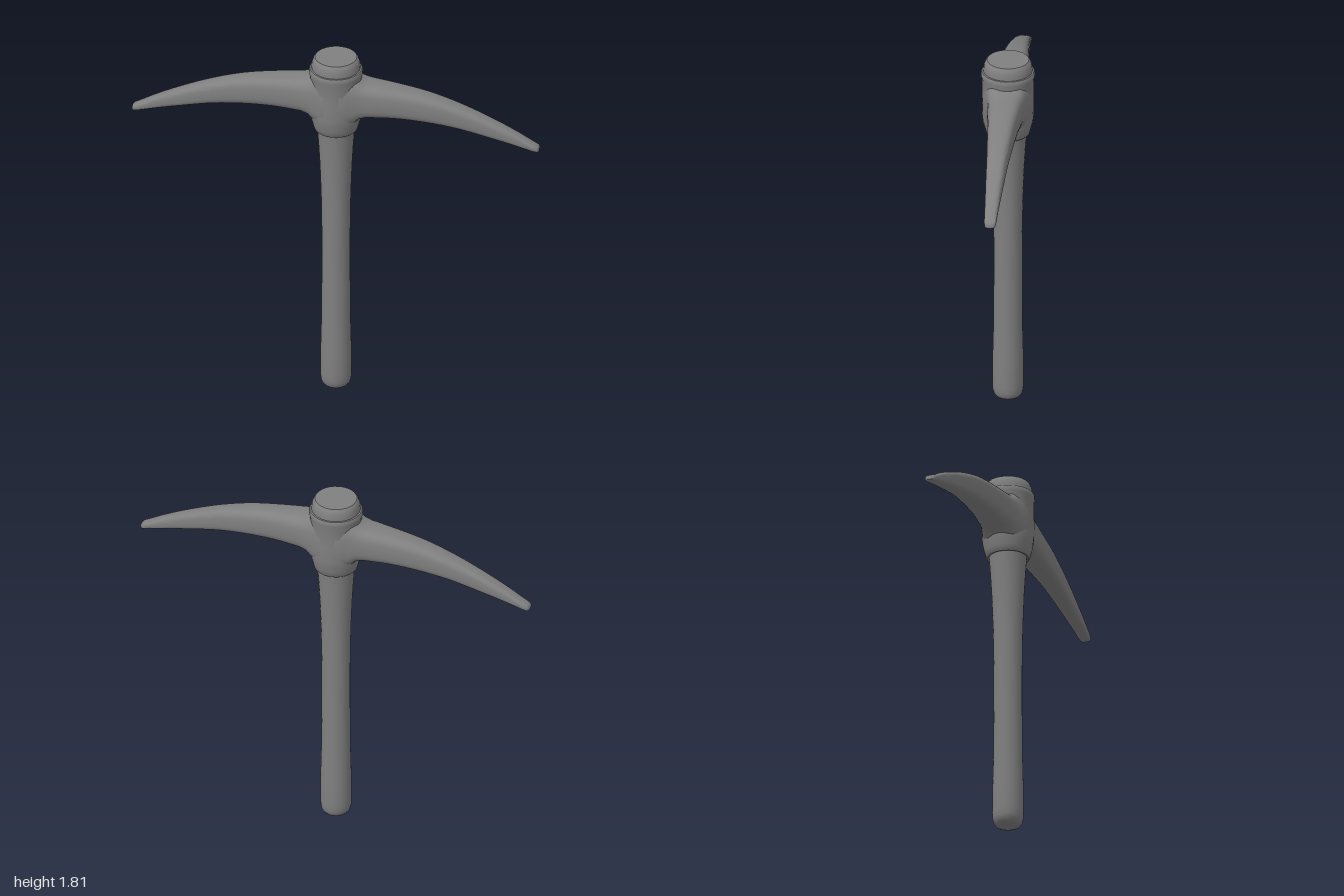
import * as THREE from 'three';
import { toCreasedNormals } from 'three/addons/utils/BufferGeometryUtils.js';

const material = new THREE.MeshStandardMaterial({ color: 0x808080 });

function addMesh(group, name, geometry, crease) {
  const mesh = new THREE.Mesh(toCreasedNormals(geometry, crease), material);
  mesh.name = name;
  group.add(mesh);
}

// Turned part from [radius, height] pairs, bottom to top
function turned(profile) {
  return new THREE.LatheGeometry(profile.map(([r, y]) => new THREE.Vector2(r, y)), 28);
}

// Loft of rounded-rectangle sections along x; each station is [x, bottom, top, halfDepth]
function loftBlade(stations, sides = 28) {
  const positions = [], indices = [];
  const round = (v) => Math.sign(v) * Math.abs(v) ** 0.6;
  for (const [x, bottom, top, depth] of stations) {
    for (let i = 0; i < sides; i++) {
      const a = (i / sides) * Math.PI * 2;
      positions.push(x, (top + bottom) / 2 + round(Math.sin(a)) * (top - bottom) / 2, round(Math.cos(a)) * depth);
    }
  }
  const rows = stations.length;
  for (let r = 0; r < rows - 1; r++) {
    for (let i = 0; i < sides; i++) {
      const j = (i + 1) % sides;
      const a = r * sides + i, b = r * sides + j, c = a + sides, d = b + sides;
      indices.push(a, c, b, b, c, d);
    }
  }
  // end caps
  const last = (rows - 1) * sides;
  for (let i = 1; i < sides - 1; i++) {
    indices.push(0, i, i + 1, last, last + i + 1, last + i);
  }
  const geometry = new THREE.BufferGeometry();
  geometry.setAttribute('position', new THREE.Float32BufferAttribute(positions, 3));
  geometry.setIndex(indices);
  return geometry;
}

// Smooth the half blade between its key stations, then add the rounded tip
function bladeStations() {
  const keys = [
    [0.16, 1.519, 1.697, 0.087], [0.3, 1.525, 1.682, 0.073], [0.45, 1.518, 1.658, 0.062],
    [0.6, 1.499, 1.616, 0.051], [0.75, 1.466, 1.558, 0.042], [0.88, 1.435, 1.498, 0.034],
    [0.975, 1.41, 1.446, 0.029],
  ];
  const curve = (k) => new THREE.CatmullRomCurve3(keys.map((s) => new THREE.Vector3(s[0], s[k], s[3])));
  const low = curve(1), high = curve(2);
  // root flare blending into the socket
  const half = [
    [0.04, 1.46, 1.73, 0.121], [0.075, 1.47, 1.728, 0.107],
    [0.105, 1.488, 1.72, 0.098], [0.125, 1.508, 1.705, 0.093],
  ];
  for (let i = 0; i <= 24; i++) {
    const p = low.getPoint(i / 24), q = high.getPoint(i / 24);
    half.push([p.x, p.y, q.y, p.z]);
  }
  half.push([0.993, 1.407, 1.437, 0.026], [1, 1.411, 1.43, 0.019]);
  const mirrored = half.map(([x, ...rest]) => [-x, ...rest]).reverse();
  return [...mirrored, ...half];
}

export function createModel() {
  const group = new THREE.Group();
  group.name = 'pickaxe';

  // Handle: rounded foot, slim grip, flare under the head
  addMesh(group, 'handle', turned([
    [0, 0], [0.045, 0], [0.06, 0.006], [0.069, 0.018], [0.074, 0.038], [0.076, 0.07], [0.075, 0.2],
    [0.071, 0.36], [0.069, 0.6], [0.069, 0.85], [0.072, 1.05], [0.078, 1.22], [0.085, 1.34], [0.092, 1.44],
  ]), 0.7);

  // Socket gripping the handle, with a raised collar on top
  addMesh(group, 'socket', turned([
    [0.088, 1.425], [0.1, 1.42], [0.106, 1.426], [0.112, 1.45], [0.121, 1.485], [0.125, 1.52],
    [0.126, 1.6], [0.126, 1.715], [0.13, 1.73], [0.13, 1.748], [0.126, 1.755], [0.11, 1.757],
  ]), 0.7);

  // Handle end showing above the socket
  addMesh(group, 'handleTop', turned([
    [0.119, 1.74], [0.118, 1.768], [0.115, 1.788], [0.109, 1.805], [0.101, 1.814], [0, 1.814],
  ]), 0.6);

  // Both curved picks in one sweep through the socket
  addMesh(group, 'blades', loftBlade(bladeStations()), 0.9);

  return group;
}
